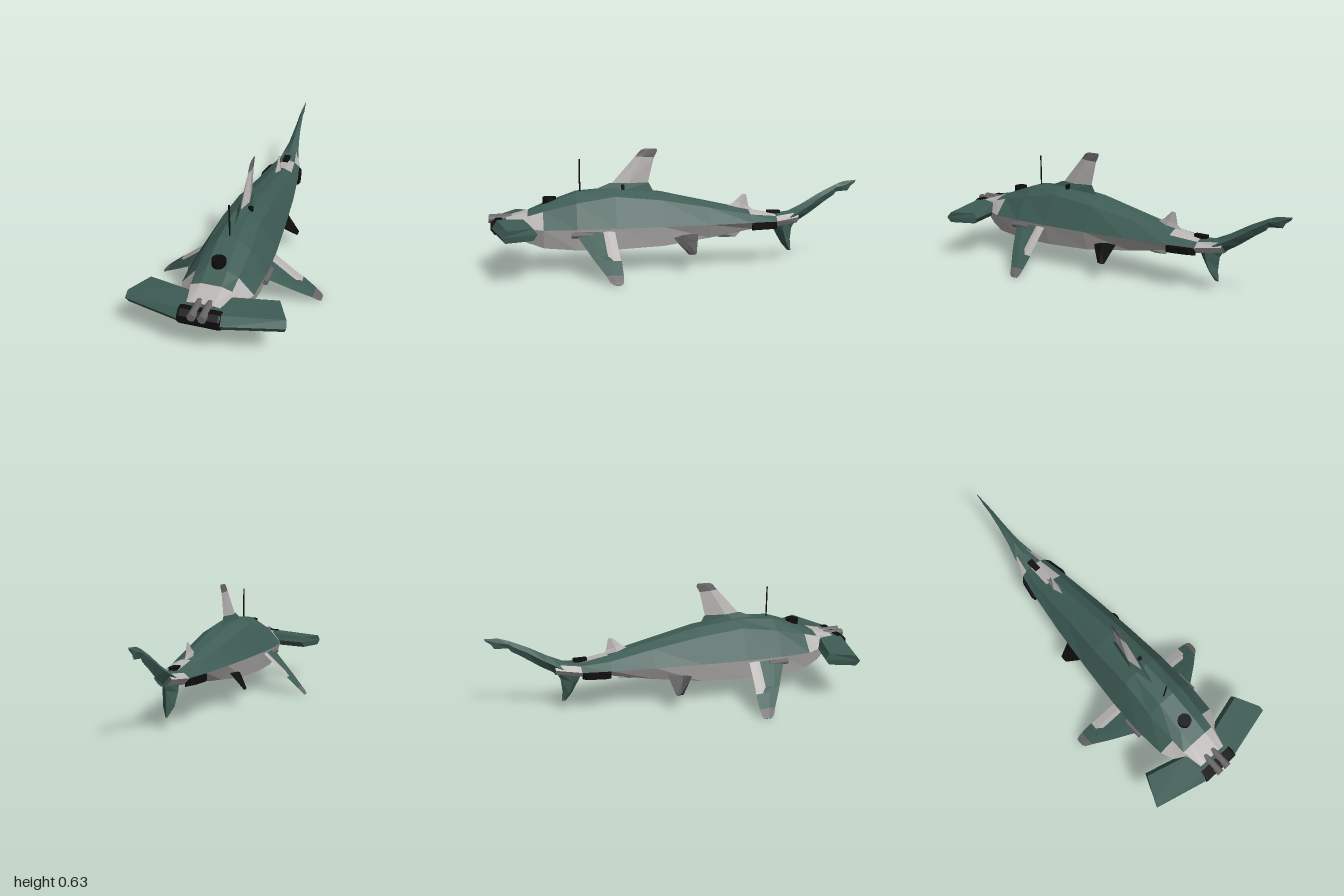
import * as THREE from 'three';

const paint = (name, color) => {
  const m = new THREE.MeshStandardMaterial({ color });
  m.name = name;
  return m;
};

// Skins closed rings of [x, y, z] points, with caps; pick(i, j) chooses the material of a panel
function loft(name, rings, mats, pick = () => 0) {
  const n = rings[0].length;
  const list = Array.isArray(mats) ? mats : [mats];
  const buckets = list.map(() => []);
  const tri = (k, a, b, c) => buckets[k].push([a, b, c]);
  for (let i = 0; i < rings.length - 1; i++) {
    for (let j = 0; j < n; j++) {
      const k = pick(i, j), j2 = (j + 1) % n;
      const a = rings[i][j], b = rings[i][j2], c = rings[i + 1][j2], d = rings[i + 1][j];
      tri(k, a, b, c);
      tri(k, a, c, d);
    }
  }
  const first = rings[0], last = rings[rings.length - 1];
  for (let j = 1; j < n - 1; j++) {
    tri(0, first[0], first[j + 1], first[j]);
    tri(0, last[0], last[j], last[j + 1]);
  }
  // Signed volume tells whether the faces point outwards
  const v = (p) => new THREE.Vector3(...p);
  let volume = 0;
  buckets.flat().forEach(([a, b, c]) => { volume += v(a).dot(v(b).cross(v(c))); });
  const geo = new THREE.BufferGeometry();
  const pos = [];
  buckets.forEach((tris, k) => {
    geo.addGroup(pos.length / 3, tris.length * 3, k);
    tris.forEach(([a, b, c]) => pos.push(...a, ...(volume < 0 ? c : b), ...(volume < 0 ? b : c)));
  });
  geo.setAttribute('position', new THREE.Float32BufferAttribute(pos, 3));
  geo.computeVertexNormals();
  const mesh = new THREE.Mesh(geo, list);
  mesh.name = name;
  return mesh;
}

// Fin with diamond sections; each station is [lead point, trail point, half thickness]
function fin(name, mat, stations, normal = [1, 0, 0]) {
  return loft(name, stations.map(([lead, trail, t]) => {
    const mid = lead.map((c, k) => c + (trail[k] - c) * 0.4);
    return [lead, mid.map((c, k) => c + normal[k] * t), trail, mid.map((c, k) => c - normal[k] * t)];
  }), mat);
}

// Upright fin in the centre plane; each station is [lead z, lead y, trail z, trail y, half thickness]
const centreFin = (name, mat, rows) =>
  fin(name, mat, rows.map(([lz, ly, tz, ty, t]) => [[0, ly, lz], [0, ty, tz], t]));

export function createModel() {
  const model = new THREE.Group();
  model.name = 'sharkSubmarine';
  const green = paint('deep green', 0x3e5c55);
  const pale = paint('pale grey', 0xb9b6b4);
  const grey = paint('mid grey', 0x696767);
  const black = paint('black', 0x0d0d0d);

  const add = (mesh) => { model.add(mesh); return mesh; };
  const solid = (name, geo, mat, x, y, z) => {
    const m = new THREE.Mesh(geo, mat);
    m.name = name;
    m.position.set(x, y, z);
    return add(m);
  };

  // Hull: z, half width, waterline y, top y, deck half width, shoulder x, y, bilge x, y, keel y
  const hull = [
    [0.91, 0.09, 0.245, 0.288, 0.05, 0.08, 0.283, 0.06, 0.225, 0.212],
    [0.80, 0.145, 0.24, 0.315, 0.05, 0.10, 0.298, 0.12, 0.165, 0.15],
    [0.72, 0.178, 0.235, 0.35, 0.05, 0.105, 0.32, 0.145, 0.138, 0.125],
    [0.55, 0.19, 0.235, 0.41, 0.045, 0.11, 0.36, 0.16, 0.125, 0.115],
    [0.35, 0.185, 0.235, 0.426, 0.04, 0.10, 0.39, 0.155, 0.122, 0.108],
    [0.10, 0.165, 0.235, 0.40, 0.035, 0.095, 0.365, 0.135, 0.13, 0.116],
    [-0.15, 0.14, 0.235, 0.345, 0.03, 0.08, 0.32, 0.10, 0.16, 0.148],
    [-0.38, 0.108, 0.235, 0.295, 0.025, 0.07, 0.275, 0.07, 0.198, 0.187],
    [-0.53, 0.08, 0.235, 0.268, 0.02, 0.05, 0.26, 0.05, 0.203, 0.197],
    [-0.66, 0.045, 0.25, 0.285, 0.012, 0.028, 0.275, 0.025, 0.225, 0.215],
  ];
  const rings = hull.map(([z, w, m, top, a, sx, sy, bx, by, bot]) => {
    const half = [[a, top, z], [sx, sy, z], [w, m, z], [bx, by, z], [bx * 0.45, bot, z]];
    return [...half, ...half.map(([x, y, q]) => [-x, y, q]).reverse()];
  });
  add(loft('hull', rings, [green, pale], (i, j) => {
    const band = j === 9 ? 0 : j > 4 ? 9 - j : j; // 0 deck, 1 flank, 2+ belly
    const strip = j === 9 ? 'deck' : [0, 8].includes(j) ? 'shoulder' : [1, 7].includes(j) ? 'flank' : 'belly';
    if (strip === 'belly') return 1;
    if (i === 0) return 1;
    if (i === 1) return strip === 'flank' ? 1 : 0;
    return i === 7 && band === 0 ? 1 : i === 8 && strip === 'flank' ? 1 : 0;
  }));

  // Hammer head: swept wings either side of the centre
  const headRing = (s, x0, front, x1, rear, top) => [
    [s * x0, 0.24, front], [s * (x0 - 0.006), top, front - 0.025],
    [s * (x1 + 0.005), top, rear + 0.02], [s * x1, 0.24, rear],
    [s * (x1 + 0.005), 0.21, rear + 0.02], [s * (x0 - 0.012), 0.21, front - 0.015],
  ];
  add(loft('hammerHead', [
    headRing(-1, 0.383, 0.912, 0.31, 0.745, 0.27),
    headRing(-1, 0.1, 0.98, 0.1, 0.8, 0.283),
    headRing(1, 0.1, 0.98, 0.1, 0.8, 0.283),
    headRing(1, 0.383, 0.912, 0.31, 0.745, 0.27),
  ], green));

  // Black nose panel wrapped round the middle of the head
  const nose = [[0.287, 0.93], [0.288, 0.962], [0.265, 0.986], [0.23, 0.986], [0.206, 0.967], [0.206, 0.93]];
  add(loft('nosePanel', [[-0.1, 0.93], [-0.09, 1], [0.09, 1], [0.1, 0.93]].map(([x, k]) =>
    nose.map(([y, z]) => [x, 0.245 + (y - 0.245) * k, z])), black));

  // Twin headlights
  for (const s of [-1, 1]) {
    solid('headlight', new THREE.CylinderGeometry(0.02, 0.02, 0.12, 12).rotateX(Math.PI / 2), grey, s * 0.025, 0.277, 0.94);
  }

  // Hatch, antenna and deck boxes
  solid('hatch', new THREE.CylinderGeometry(0.035, 0.035, 0.06, 16), black, 0, 0.355, 0.69);
  solid('antenna', new THREE.CylinderGeometry(0.004, 0.004, 0.17, 6), black, 0, 0.495, 0.53);
  solid('deckSensor', new THREE.BoxGeometry(0.025, 0.025, 0.016), black, 0.035, 0.432, 0.305);
  solid('tailDeckBox', new THREE.BoxGeometry(0.032, 0.03, 0.07), black, 0, 0.272, -0.525);

  // Main dorsal fin with fairing and grey tip
  centreFin('dorsalFairing', green, [
    [0.46, 0.415, 0.13, 0.39, 0.04], [0.37, 0.452, 0.165, 0.452, 0.022],
  ]);
  add(centreFin('dorsalFairing', green, [
    [0.46, 0.415, 0.13, 0.39, 0.04], [0.37, 0.452, 0.165, 0.452, 0.022],
  ]));
  add(centreFin('dorsalFin', pale, [
    [0.365, 0.445, 0.175, 0.42, 0.022], [0.235, 0.592, 0.135, 0.585, 0.007],
  ]));
  add(centreFin('dorsalTip', grey, [
    [0.235, 0.592, 0.135, 0.585, 0.007], [0.205, 0.625, 0.118, 0.617, 0.003], [0.185, 0.632, 0.12, 0.632, 0.001],
  ]));

  // Small rear dorsal fin and anal fin
  add(centreFin('rearDorsalFin', pale, [
    [-0.25, 0.305, -0.43, 0.27, 0.022], [-0.305, 0.338, -0.385, 0.315, 0.012], [-0.35, 0.38, -0.372, 0.378, 0.003],
  ]));
  add(centreFin('analFin', pale, [
    [-0.13, 0.2, -0.38, 0.2, 0.06], [-0.17, 0.16, -0.345, 0.175, 0.035], [-0.23, 0.143, -0.315, 0.145, 0.008],
  ]));

  // Tail: long upper lobe and short lower lobe
  add(centreFin('upperTail', green, [
    [-0.52, 0.262, -0.6, 0.205, 0.05], [-0.6, 0.277, -0.655, 0.218, 0.052],
    [-0.69, 0.32, -0.735, 0.268, 0.03], [-0.79, 0.378, -0.82, 0.33, 0.017],
    [-0.86, 0.412, -0.872, 0.364, 0.012], [-0.885, 0.424, -0.885, 0.382, 0.01],
    [-0.93, 0.44, -0.955, 0.388, 0.007], [-0.965, 0.443, -0.968, 0.412, 0.004], [-1, 0.446, -0.995, 0.432, 0.002],
  ]));
  add(centreFin('lowerTail', green, [
    [-0.505, 0.235, -0.66, 0.235, 0.045], [-0.535, 0.17, -0.632, 0.185, 0.04],
    [-0.575, 0.1, -0.625, 0.12, 0.03], [-0.61, 0.06, -0.63, 0.058, 0.003],
  ]));

  // Paired parts
  for (const s of [-1, 1]) {
    const side = s > 0 ? 'left' : 'right';
    const up = [s * 0.66, 0.75, 0];
    const sideFin = (name, mat, rows, normal) =>
      add(fin(side + name, mat, rows.map(([x, y, lz, tz, t]) => [[s * x, y, lz], [s * x, y, tz], t]), normal));

    // Pectoral fin, pale trailing flap and grey tip
    sideFin('PectoralFin', green, [
      [0.17, 0.23, 0.57, 0.41, 0.006], [0.3, 0.118, 0.485, 0.395, 0.005],
      [0.325, 0.097, 0.468, 0.338, 0.005], [0.39, 0.04, 0.42, 0.334, 0.004],
    ], up);
    sideFin('PectoralFlap', pale, [
      [0.17, 0.23, 0.425, 0.36, 0.004], [0.3, 0.118, 0.41, 0.345, 0.003], [0.325, 0.097, 0.4, 0.339, 0.003],
    ], up);
    sideFin('PectoralTip', grey, [
      [0.39, 0.04, 0.42, 0.334, 0.004], [0.418, 0.014, 0.402, 0.335, 0.003], [0.43, 0.002, 0.385, 0.342, 0.002],
    ], up);
    solid(side + 'PectoralHinge', new THREE.CylinderGeometry(0.015, 0.015, 0.11, 10).rotateX(Math.PI / 2),
      grey, s * 0.19, 0.208, 0.525);

    // Pelvic fin
    sideFin('PelvicFin', black, [
      [0.125, 0.185, 0.06, -0.085, 0.006], [0.155, 0.148, 0.03, -0.075, 0.006], [0.199, 0.094, -0.02, -0.062, 0.005],
    ], [s * 0.75, 0.66, 0]);

    // Thruster pod beside the tail
    add(loft(side + 'Thruster', [[-0.385, 0.113, 0.09], [-0.41, 0.118, 0.08], [-0.505, 0.1, 0.06], [-0.525, 0.085, 0.055]]
      .map(([z, out, inn]) => [[s * inn, 0.238, z], [s * out, 0.232, z], [s * out, 0.2, z], [s * inn, 0.19, z]]), black));
  }
  return model;
}
